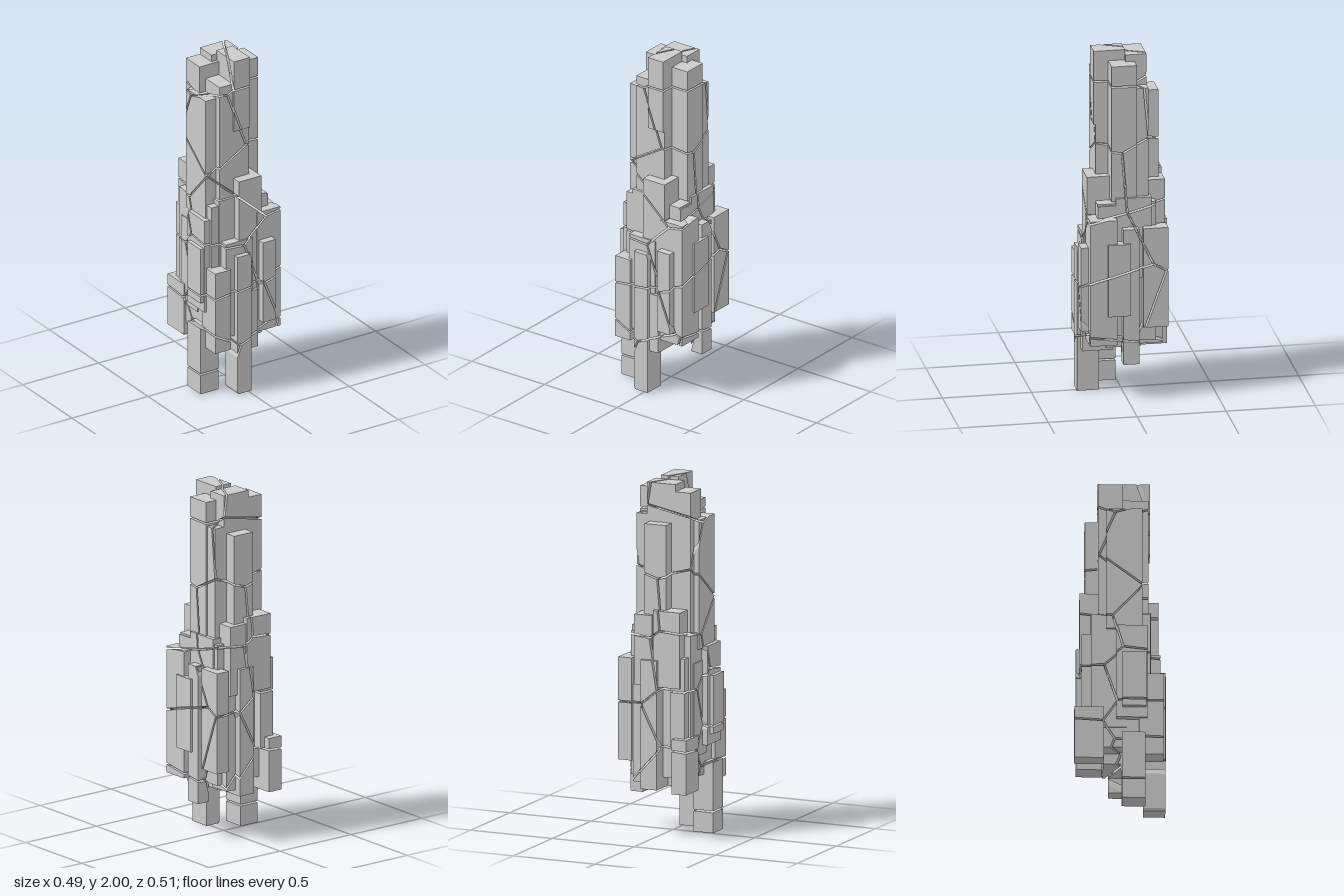
import * as THREE from 'three';

const GAP = 0.005; // half the width of a crack

// Stone columns: x0, x1, y0, y1, z0, z1
const columns = {
  upperColumn: [
    [-0.04, 0.066, 1.57, 2.0, -0.013, 0.163],
    [-0.075, 0.1, 1.1, 1.98, -0.127, -0.01],
    [-0.167, 0.0, 1.1, 1.94, -0.127, 0.01],
    [0.0, 0.172, 1.15, 1.94, -0.06, 0.082],
    [-0.127, 0.04, 1.1, 1.86, 0.0, 0.152],
    [0.03, 0.066, 1.1, 1.6, 0.0, 0.152],
    [-0.197, -0.1, 1.05, 1.78, -0.08, 0.117],
    [-0.05, 0.082, 1.1, 1.76, -0.197, -0.1],
    [0.06, 0.162, 1.1, 1.8, -0.127, -0.03],
  ],
  middleColumn: [
    [-0.187, 0.177, 0.33, 1.14, -0.167, 0.162],
    [-0.037, 0.11, 0.6, 1.28, 0.05, 0.21],
    [-0.15, 0.015, 0.85, 1.28, -0.228, -0.07],
    [0.02, 0.13, 0.85, 1.25, -0.225, -0.1],
    [0.09, 0.185, 0.7, 1.17, -0.14, 0.06],
    [0.05, 0.185, 0.7, 1.13, 0.0, 0.162],
    [-0.142, -0.04, 0.6, 1.17, 0.06, 0.167],
    [-0.222, -0.1, 0.5, 1.06, -0.025, 0.145],
    [0.08, 0.233, 0.33, 1.06, 0.06, 0.213],
    [-0.127, 0.05, 0.35, 0.92, 0.06, 0.218],
  ],
  lowerColumn: [
    [-0.245, -0.13, 0.56, 0.89, 0.006, 0.138],
    [-0.21, -0.107, 0.28, 0.77, 0.1, 0.236],
    [0.092, 0.177, 0.4, 0.89, 0.15, 0.255],
    [0.15, 0.245, 0.5, 0.92, -0.014, 0.113],
    [0.145, 0.227, 0.42, 1.0, -0.227, -0.088],
    [0.155, 0.23, 0.21, 1.0, -0.063, 0.025],
    [-0.018, 0.082, 0.27, 1.0, -0.246, -0.1],
    [-0.202, -0.115, 0.26, 0.57, -0.258, -0.095],
    [-0.175, -0.085, 0.5, 1.02, -0.218, -0.1],
    [-0.193, -0.12, 0.45, 0.98, -0.135, 0.03],
    [0.08, 0.146, 0.3, 0.85, -0.208, -0.08],
    [0.0, 0.077, 0.25, 0.6, 0.06, 0.228],
    [-0.097, 0.097, 0.27, 0.6, -0.097, 0.1],
  ],
  leg: [
    [-0.242, -0.124, 0, 0.4, 0.005, 0.135],
    [-0.071, 0.021, 0, 0.84, 0.125, 0.248],
  ],
};

// Centres of the fracture cells
const cells = [
  [0.1, 2.0, 0.05], [-0.08, 1.97, -0.04], [0.1, 1.64, 0.06], [-0.12, 1.56, 0.08],
  [0.06, 1.26, 0.12], [-0.1, 1.08, 0.12], [0.13, 0.84, 0.03], [-0.13, 0.74, 0.08],
  [-0.1, 0.5, 0.08], [0.2, 0.62, -0.03], [0.05, 0.12, 0.07], [0.2, 0.08, 0.05],
  [-0.24, 0.24, 0.07], [-0.24, 0, 0.07],
  [-0.02, 1.66, -0.16], [0.1, 1.28, -0.13], [-0.12, 1.3, -0.12], [0.14, 0.96, -0.22],
  [-0.1, 1.0, -0.16], [0.14, 0.54, -0.25], [-0.1, 0.66, -0.16], [-0.08, 0.34, -0.18],
].map((c) => new THREE.Vector3(...c));

function boxFaces([x0, x1, y0, y1, z0, z1]) {
  const x = [x0, x1], y = [y0, y1], z = [z0, z1];
  const p = (i) => new THREE.Vector3(x[i & 1], y[(i >> 1) & 1], z[i >> 2]);
  return [[1, 3, 7, 5], [0, 4, 6, 2], [2, 6, 7, 3], [0, 1, 5, 4], [4, 5, 7, 6], [0, 2, 3, 1]]
    .map((f) => f.map(p));
}

// Cuts a convex solid with a plane, keeps the inner side and caps the cut
function clip(faces, plane) {
  const cap = [], out = [];
  let cut = false;
  for (const face of faces) {
    const kept = [];
    face.forEach((a, i) => {
      const b = face[(i + 1) % face.length];
      const da = plane.distanceToPoint(a), db = plane.distanceToPoint(b);
      if (da <= 0) kept.push(a);
      else cut = true;
      if ((da < 0 && db > 0) || (da > 0 && db < 0)) {
        const q = a.clone().lerp(b, da / (da - db));
        kept.push(q);
        cap.push(q);
      }
    });
    if (kept.length > 2) out.push(kept);
  }
  if (!cut) return faces;
  if (cap.length > 2) {
    const mid = cap.reduce((s, q) => s.add(q), new THREE.Vector3()).divideScalar(cap.length);
    const u = new THREE.Vector3(1, 0, 0);
    if (Math.abs(plane.normal.x) > 0.8) u.set(0, 1, 0);
    u.cross(plane.normal).normalize();
    const v = plane.normal.clone().cross(u);
    const angle = (q) => {
      const d = q.clone().sub(mid);
      return Math.atan2(d.dot(v), d.dot(u));
    };
    cap.sort((a, b) => angle(a) - angle(b));
    // Each cut corner is shared by two faces, so drop its twin
    const ring = cap.filter((q, i) => q.distanceTo(cap[(i + 1) % cap.length]) > 1e-6);
    if (ring.length > 2) out.push(ring);
  }
  return out;
}

// Planes that bound one cell, pulled in to leave a crack
function cellPlanes(centre) {
  return cells.filter((c) => c !== centre).map((c) => {
    const n = c.clone().sub(centre).normalize();
    const mid = c.clone().add(centre).multiplyScalar(0.5).addScaledVector(n, -GAP);
    return new THREE.Plane().setFromNormalAndCoplanarPoint(n, mid);
  });
}

export function createModel() {
  const model = new THREE.Group();
  model.name = 'crackedStonePillar';
  const material = new THREE.MeshStandardMaterial({ color: 0xcccccc, flatShading: true });
  const planes = cells.map(cellPlanes);

  for (const [name, boxes] of Object.entries(columns)) {
    for (const box of boxes) {
      const pos = [];
      for (const cell of planes) {
        const faces = cell.reduce(clip, boxFaces(box));
        for (const f of faces) {
          for (let i = 1; i < f.length - 1; i++) {
            for (const q of [f[0], f[i], f[i + 1]]) pos.push(q.x, q.y, q.z);
          }
        }
      }
      const geometry = new THREE.BufferGeometry();
      geometry.setAttribute('position', new THREE.Float32BufferAttribute(pos, 3));
      geometry.computeVertexNormals();
      const mesh = new THREE.Mesh(geometry, material);
      mesh.name = name;
      model.add(mesh);
    }
  }
  return model;
}
